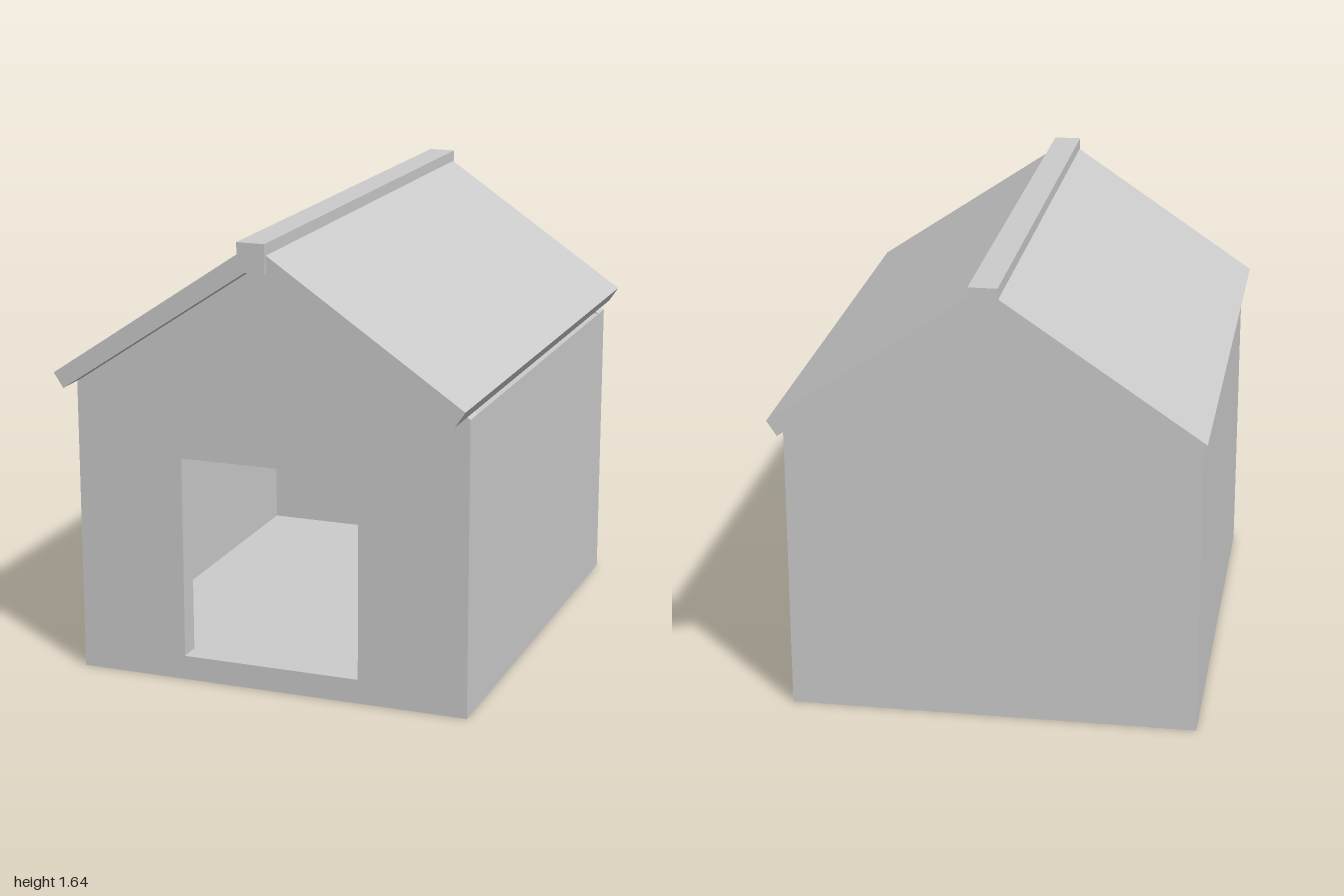
import * as THREE from 'three';

const W = 0.725, D = 0.858, T = 0.08; // half width, half depth, wall thickness
const EAVE = 1.065, APEX = 1.55, FLOOR = 0.08;

export function createModel() {
  const group = new THREE.Group();
  const material = new THREE.MeshStandardMaterial({ color: 0xcccccc, flatShading: true });

  const add = (name, geometry, x = 0, y = 0, z = 0) => {
    const mesh = new THREE.Mesh(geometry, material);
    mesh.name = name;
    mesh.position.set(x, y, z);
    group.add(mesh);
  };
  const polygon = (points) => new THREE.Shape(points.map(([x, y]) => new THREE.Vector2(x, y)));
  const extrude = (shape, depth) => new THREE.ExtrudeGeometry(shape, { depth, bevelEnabled: false });
  const gable = () => polygon([[-W, 0], [W, 0], [W, EAVE], [0, APEX], [-W, EAVE]]);

  // Gabled end walls, the front one with a doorway
  const front = gable();
  front.holes.push(polygon([[-0.33, 0.088], [-0.33, 0.822], [0.326, 0.822], [0.326, 0.088]]));
  add('frontWall', extrude(front, T), 0, 0, D - T);
  add('backWall', extrude(gable(), T), 0, 0, -D);

  // Floor between the walls
  add('floor', new THREE.BoxGeometry(2 * (W - T), FLOOR, 2 * (D - T)), 0, FLOOR / 2, 0);

  // Side walls and sloping roof panels, mirrored
  for (const [side, s] of [['left', 1], ['right', -1]]) {
    add(side + 'Wall', new THREE.BoxGeometry(T, EAVE, 2 * (D - T)), s * (W - T / 2), EAVE / 2, 0);
    const profile = [[0, APEX], [0.713, 1.073], [0.748, 1.126], [0, 1.63]].map(([x, y]) => [s * x, y]);
    add(side + 'RoofPanel', extrude(polygon(profile), 1.976), 0, 0, -0.988);
  }

  // Ridge beam
  add('ridgeBeam', new THREE.BoxGeometry(0.1, 0.102, 2), 0, 1.586, 0);
  return group;
}
